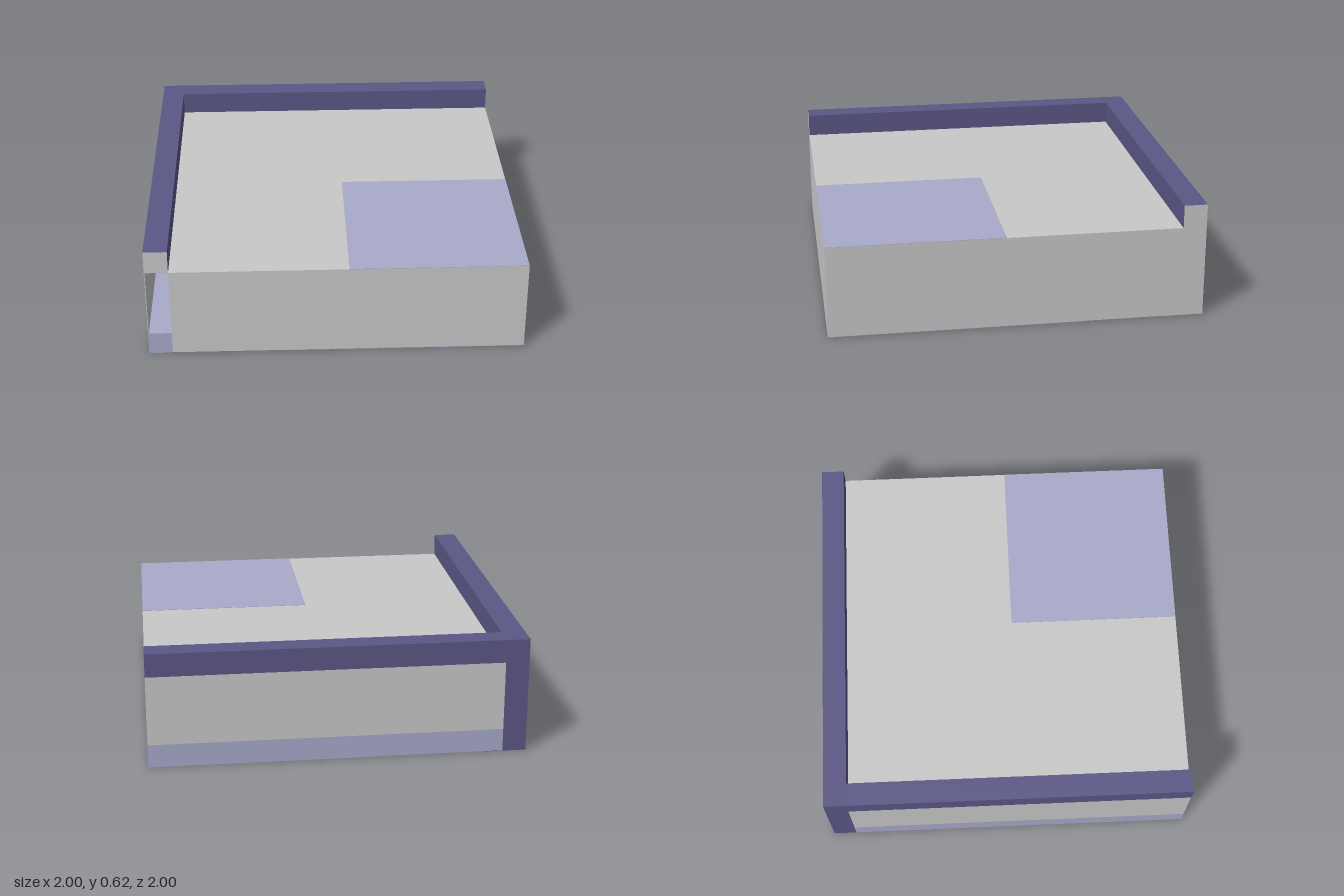
import * as THREE from 'three';

export function createModel() {
  const model = new THREE.Group();
  model.name = 'cornerTray';

  const material = (name, color) => {
    const m = new THREE.MeshStandardMaterial({ color });
    m.name = name;
    return m;
  };
  const grey = material('grey', 0xc9c9c9);
  const dark = material('darkPurple', 0x5b5786);
  const light = material('lightPurple', 0xa9aaca);

  // Box between two extents per axis; faces overrides single sides (px nx py ny pz nz)
  const sides = ['px', 'nx', 'py', 'ny', 'pz', 'nz'];
  function block(name, mat, [x0, x1], [y0, y1], [z0, z1], faces = {}) {
    const geometry = new THREE.BoxGeometry(x1 - x0, y1 - y0, z1 - z0);
    const mesh = new THREE.Mesh(geometry, sides.map((s) => faces[s] || mat));
    mesh.name = name;
    mesh.position.set((x0 + x1) / 2, (y0 + y1) / 2, (z0 + z1) / 2);
    model.add(mesh);
  }

  const IN = -0.875; // inner line of the rim and walls
  const base = 0.002; // painted patches fill the gap down to y = 0
  const edge = [-1, IN];
  const span = [IN, 1];
  const skirt = [base, 0.125];
  const wall = [0.125, 0.5];
  const rim = [0.5, 0.625];

  // Main slab
  block('slab', grey, span, [base, 0.5], span);

  // Back wall: skirt, panel and rim
  block('backSkirt', light, span, skirt, edge, { px: grey, ny: grey });
  block('backPanel', grey, span, wall, edge);
  block('backRim', dark, [-1, 1], rim, edge, { px: grey });

  // Corner post
  block('cornerPost', dark, edge, [base, 0.5], edge, { ny: grey });

  // Side wall: hollow slot, open at the front, behind a thin outer panel
  block('sideSkirt', light, edge, skirt, span, { ny: grey });
  block('sidePanel', grey, [-1, -0.996], wall, span);
  block('sideRim', dark, edge, rim, span, { pz: grey });

  // Painted patch on top, with a softened inner corner
  const r = 0.02, a = 0.0625;
  const shape = new THREE.Shape();
  shape.moveTo(a + r, -a);
  shape.lineTo(1, -a);
  shape.lineTo(1, -1);
  shape.lineTo(a, -1);
  shape.lineTo(a, -a - r);
  shape.quadraticCurveTo(a, -a, a + r, -a);
  const patch = new THREE.Mesh(
    new THREE.ExtrudeGeometry(shape, { depth: 0.002, bevelEnabled: false }), light);
  patch.name = 'topPatch';
  patch.rotation.x = -Math.PI / 2;
  patch.position.y = 0.5;
  model.add(patch);

  // Painted patches on the underside
  const thin = [0, base + 0.001];
  block('bottomPatch', light, [-0.25, 1], thin, [-0.375, 1]);
  block('bottomBackStripe', light, [-0.21, 1], thin, [-1, -0.78]);
  block('bottomSideStripe', light, [-1, -0.885], thin, [-0.91, 0.1]);
  block('bottomFrontStripe', light, [-1, -0.885], thin, [0.52, 1]);
  block('bottomCornerStripe', dark, [-1, -0.78], thin, [-1, -0.91]);

  return model;
}
